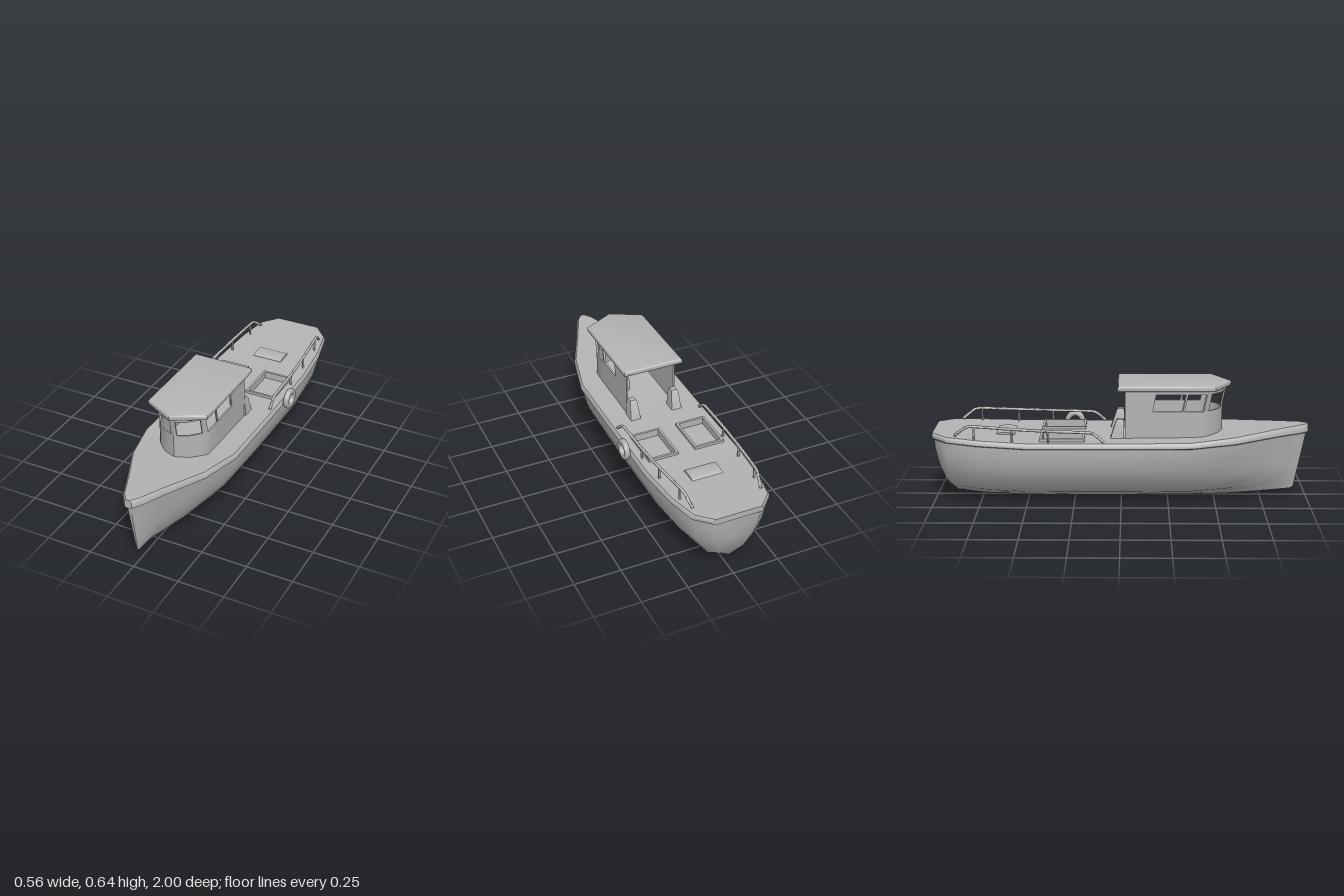
import * as THREE from 'three';
import { toCreasedNormals } from 'three/addons/utils/BufferGeometryUtils.js';

const paint = new THREE.MeshStandardMaterial({ color: 0xb4b4b4, side: THREE.DoubleSide });
paint.name = 'plain grey';

// Skin a row of equal cross-sections; optionally close each ring and cap both ends.
function loft(rings, closed, caps) {
  const n = rings[0].length, pos = [];
  const tri = (a, b, c) => pos.push(...a, ...b, ...c);
  const m = closed ? n : n - 1;
  for (let i = 0; i < rings.length - 1; i++) {
    for (let j = 0; j < m; j++) {
      const k = (j + 1) % n, A = rings[i], B = rings[i + 1];
      tri(A[j], A[k], B[j]);
      tri(A[k], B[k], B[j]);
    }
  }
  if (caps) {
    [rings[0], rings[rings.length - 1]].forEach((r, end) => {
      const c = [0, 1, 2].map(a => r.reduce((s, p) => s + p[a], 0) / n);
      for (let j = 0; j < n; j++) {
        const k = (j + 1) % n;
        if (end) tri(c, r[j], r[k]); else tri(c, r[k], r[j]);
      }
    });
  }
  const g = new THREE.BufferGeometry();
  g.setAttribute('position', new THREE.Float32BufferAttribute(pos, 3));
  g.computeVertexNormals();
  return g;
}

function add(parent, name, geo, crease = 0.6) {
  const mesh = new THREE.Mesh(crease ? toCreasedNormals(geo, crease) : geo, paint);
  mesh.name = name;
  parent.add(mesh);
  return mesh;
}

const rect = (T, x0, y0, x1, y1) => {
  const s = new T();
  s.moveTo(x0, y0); s.lineTo(x1, y0); s.lineTo(x1, y1); s.lineTo(x0, y1); s.closePath();
  return s;
};

// Stations: z, half beam, deck height, keel height, end rake, bow sharpness
const STATIONS = [
  [1.0, 0.02, 0.405, 0.05, -0.06, 1],
  [0.96, 0.05, 0.404, 0.04, -0.045, 1],
  [0.83, 0.105, 0.395, 0.03, -0.02, 0.8],
  [0.6, 0.21, 0.375, 0.012, 0, 0.45],
  [0.37, 0.265, 0.36, 0.003, 0, 0.12],
  [0, 0.265, 0.355, 0, 0, 0],
  [-0.5, 0.265, 0.355, 0, 0, 0],
  [-0.75, 0.245, 0.365, 0.012, 0, 0],
  [-0.92, 0.21, 0.375, 0.03, 0.03, 0],
  [-1.0, 0.135, 0.38, 0.055, 0.07, 0],
];
// Hull section: height fraction, width amidships, width at the bow
const SECTION = [[1, 1, 1], [0.83, 1, 0.86], [0.62, 0.93, 0.72], [0.45, 0.84, 0.6], [0.18, 0.56, 0.42], [0, 0, 0]];

const railBottom = s => s[2] - 0.033 - 0.015 * s[5];
const mirrorRing = half => [...half, ...half.slice().reverse().map(([x, y, z]) => [-x, y, z])];

function buildHull(boat) {
  const hull = STATIONS.map(s => {
    const [z, w, , keel, rake, bow] = s, top = railBottom(s) + 0.004;
    const inner = Math.max(0.01, w - 0.015), inset = Math.abs(z) === 1 ? -0.008 * z : 0;
    return mirrorRing(SECTION.map(([h, mid, sharp]) => [
      inner * THREE.MathUtils.lerp(mid, sharp, bow),
      keel + (top - keel) * h,
      z + inset + rake * Math.pow(1 - h, rake > 0 ? 1.6 : 1),
    ]));
  });
  add(boat, 'hull', loft(hull, false, true), 0.9);

  // Rounded rubbing strake around the deck edge
  const strake = STATIONS.map(s => {
    const [z, w, top] = s, b = railBottom(s), e = Math.min(0.01, w * 0.5);
    return mirrorRing([[w - e, top, z], [w, top - 0.01, z], [w, b + 0.006, z], [w - e, b, z]]);
  });
  add(boat, 'rubbingStrake', loft(strake, false, true), 0.9);

  // Deck fore and aft of the hatch area
  const row = ([z, w, top]) => [[-(w - Math.min(0.01, w * 0.5)), top, z], [w - Math.min(0.01, w * 0.5), top, z]];
  add(boat, 'foreDeck', loft(STATIONS.slice(0, 6).map(row), false, false));
  add(boat, 'aftDeck', loft(STATIONS.slice(6).map(row), false, false));

  // Middle deck with two hatch openings
  const deck = rect(THREE.Shape, -0.255, 0, 0.255, 0.5);
  for (const x of [-0.13, 0.13]) deck.holes.push(rect(THREE.Path, x - 0.075, 0.203, x + 0.075, 0.417));
  const g = new THREE.ShapeGeometry(deck).rotateX(-Math.PI / 2).translate(0, 0.355, 0);
  add(boat, 'midDeck', g, 0);
}

function buildHatches(boat) {
  for (const x of [-0.13, 0.13]) {
    const frame = rect(THREE.Shape, -0.083, -0.118, 0.083, 0.118);
    frame.holes.push(rect(THREE.Path, -0.07, -0.105, 0.07, 0.105));
    const g = new THREE.ExtrudeGeometry(frame, { depth: 0.042, bevelEnabled: false });
    g.rotateX(-Math.PI / 2).translate(x, 0.328, -0.31);
    add(boat, 'hatchCoaming', g);
    add(boat, 'hatchFloor', new THREE.BoxGeometry(0.16, 0.006, 0.23).translate(x, 0.329, -0.31));
  }
  // Low curved cover on the aft deck
  const cover = new THREE.CylinderGeometry(0.05, 0.05, 0.17, 16).rotateZ(Math.PI / 2);
  cover.scale(1, 0.22, 1).translate(0, 0.36, -0.617);
  add(boat, 'aftCover', cover, 0.8);
}

// Half plan of the wheelhouse from the centre front round to the aft edge
const PLAN = [[0, 0.54], [0.016, 0.535], [0.07, 0.512], [0.122, 0.46], [0.14, 0.434],
  [0.141, 0.334], [0.141, 0.324], [0.141, 0.166], [0.141, 0.02]];

// Wall with thickness along a plan path; it leans forward above the sill
function wall(path, y0, y1) {
  const at = (x, z, y) => [x, y, z + (z > 0.1 ? 0.2 * Math.max(0, y - 0.5) : 0)];
  return loft(path.map(([x, z]) => {
    const xi = x * 0.93, zi = z > 0.1 ? z * 0.985 : z;
    return [at(x, z, y1), at(x, z, y0), at(xi, zi, y0), at(xi, zi, y1)];
  }), true, true);
}

function buildCabin(boat) {
  const cabin = new THREE.Group();
  cabin.name = 'wheelhouse';
  boat.add(cabin);
  const flip = pts => pts.slice().reverse().map(([x, z]) => [-x, z]);
  const full = [...flip(PLAN.slice(1)), ...PLAN];
  add(cabin, 'lowerWall', wall(full, 0.345, 0.5));
  add(cabin, 'wallHead', wall(full, 0.59, 0.617));
  add(cabin, 'centrePost', wall([...flip(PLAN.slice(1, 2)), ...PLAN.slice(0, 2)], 0.5, 0.59));
  for (const [name, a, b] of [['cornerPost', 3, 5], ['sideMullion', 5, 7], ['aftSideWall', 7, 9]]) {
    const part = PLAN.slice(a, b);
    add(cabin, name, wall(part, 0.5, 0.59));
    add(cabin, name, wall(flip(part), 0.5, 0.59));
  }

  // Roof with a pointed front and soft edge
  const s = new THREE.Shape();
  [[-0.157, -0.008], [0.157, -0.008], [0.157, 0.488], [0, 0.572], [-0.157, 0.488]]
    .forEach(([x, z], i) => (i ? s.lineTo(x, z) : s.moveTo(x, z)));
  const roof = new THREE.ExtrudeGeometry(s, {
    depth: 0.01, bevelSize: 0.01, bevelThickness: 0.01, bevelSegments: 3, curveSegments: 4,
  });
  add(cabin, 'roof', roof.rotateX(Math.PI / 2).translate(0, 0.63, 0));

  // Ring hung on the inside of the left wall
  const ring = new THREE.TorusGeometry(0.042, 0.012, 8, 20).rotateY(Math.PI / 2);
  add(cabin, 'hangingRing', ring.translate(0.12, 0.51, 0.09), 1);

  // Tapered lockers against the aft edges
  for (const x of [-0.12, 0.12]) {
    const section = (y, w, zf, zb) => [[x - w, y, zf], [x + w, y, zf], [x + w, y, zb], [x - w, y, zb]];
    add(cabin, 'aftLocker', loft([section(0.345, 0.029, 0.015, -0.06), section(0.445, 0.02, 0.015, -0.028),
      section(0.457, 0.016, 0.012, -0.02)], true, true));
  }
}

function buildRails(boat) {
  const pts = [[0.24, 0.36, -0.09], [0.236, 0.408, -0.155], [0.232, 0.416, -0.38], [0.222, 0.424, -0.57],
    [0.205, 0.434, -0.77], [0.2, 0.43, -0.81], [0.186, 0.38, -0.875]];
  for (const side of [-1, 1]) {
    const v = pts.map(([x, y, z]) => new THREE.Vector3(x * side, y, z));
    const curve = new THREE.CatmullRomCurve3(v, false, 'catmullrom', 0.2);
    add(boat, 'handrail', new THREE.TubeGeometry(curve, 48, 0.008, 8), 1);
    for (const i of [2, 3, 4]) {
      const h = v[i].y - 0.35;
      add(boat, 'railPost', new THREE.CylinderGeometry(0.006, 0.006, h, 8)
        .translate(v[i].x, 0.35 + h / 2, v[i].z), 1);
    }
  }
}

// Tyre fender on the left side
function buildFender(boat) {
  const profile = [[0.029, -0.01], [0.034, -0.014], [0.051, -0.014], [0.056, -0.009], [0.056, 0.009],
    [0.051, 0.014], [0.034, 0.014], [0.029, 0.01], [0.029, -0.01]].map(p => new THREE.Vector2(...p));
  const g = new THREE.LatheGeometry(profile, 28).rotateZ(-Math.PI / 2).translate(0.279, 0.346, -0.26);
  add(boat, 'tyreFender', g, 0.9);
}

export function createModel() {
  const model = new THREE.Group();
  model.name = 'workboat';
  const boat = new THREE.Group();
  boat.name = 'boat';
  boat.position.x = -0.0145;
  model.add(boat);
  buildHull(boat);
  buildHatches(boat);
  buildCabin(boat);
  buildRails(boat);
  buildFender(boat);
  return model;
}
